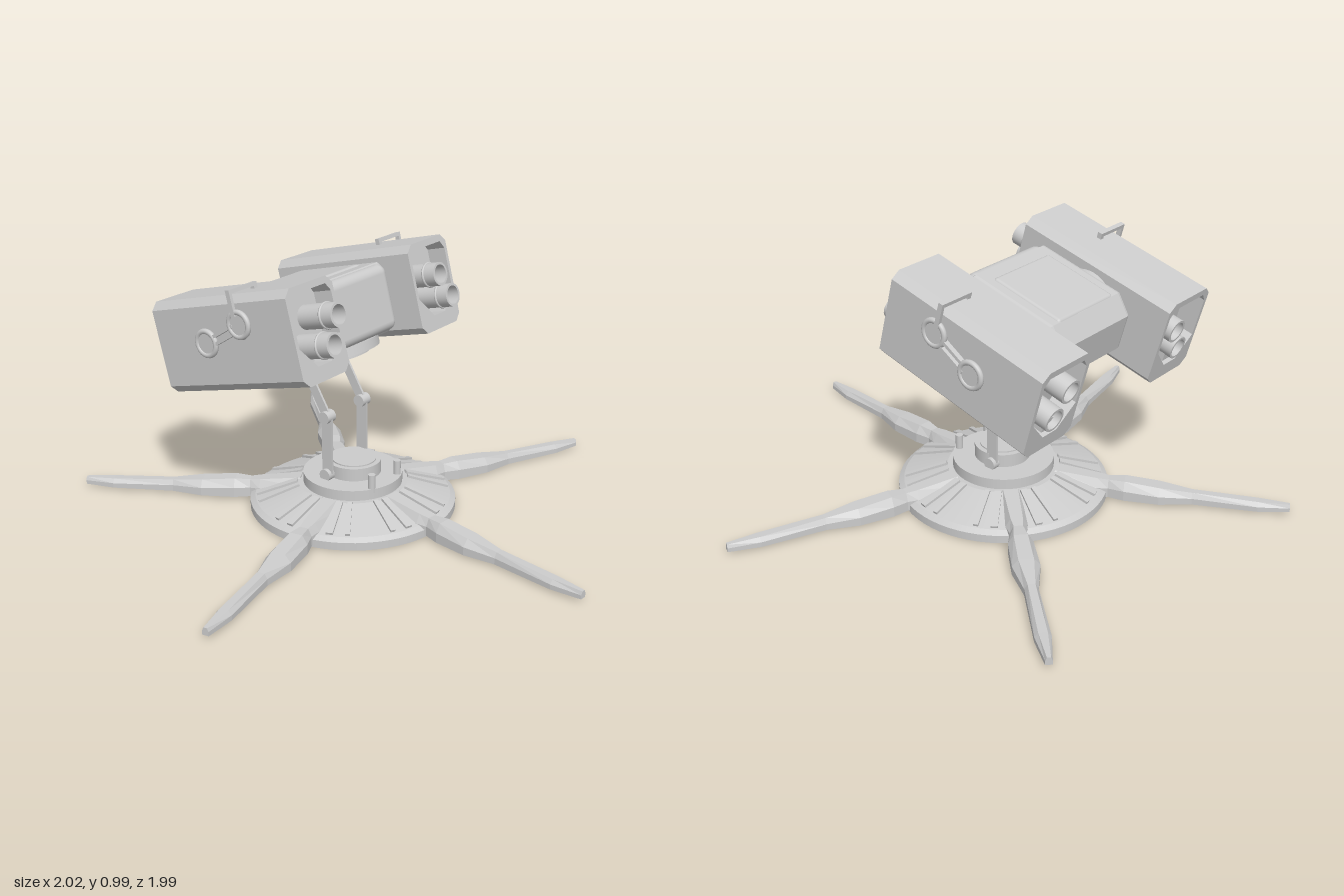
import * as THREE from 'three';
import { RoundedBoxGeometry } from 'three/addons/geometries/RoundedBoxGeometry.js';

const mat = new THREE.MeshStandardMaterial({ color: 0xcccccc, side: THREE.DoubleSide });
const flat = new THREE.MeshStandardMaterial({ color: 0xcccccc, flatShading: true, side: THREE.DoubleSide });

function add(parent, name, geo, x = 0, y = 0, z = 0, m = mat) {
  const mesh = new THREE.Mesh(geo, m);
  mesh.name = name;
  mesh.position.set(x, y, z);
  parent.add(mesh);
  return mesh;
}
function group(parent, name, x = 0, y = 0, z = 0) {
  const g = new THREE.Group();
  g.name = name;
  g.position.set(x, y, z);
  parent.add(g);
  return g;
}
const box = (w, h, d) => new THREE.BoxGeometry(w, h, d);
const cyl = (r, h, n = 32) => new THREE.CylinderGeometry(r, r, h, n);
const cylX = (r, h, n = 24) => cyl(r, h, n).rotateZ(Math.PI / 2);
const poly = (pts) => pts.map(([x, y]) => new THREE.Vector2(x, y));

// Bar between two (z, y) points in a plane of constant x
function bar(parent, name, x, a, b, thick, wide) {
  const dz = b[0] - a[0], dy = b[1] - a[1];
  const mesh = add(parent, name, box(thick, wide, Math.hypot(dz, dy)), x, (a[1] + b[1]) / 2, (a[0] + b[0]) / 2);
  mesh.rotation.x = -Math.atan2(dy, dz);
  return mesh;
}

// Trapezoid loft along z; stations are [z, half width, bottom, top]
function loft(stations) {
  const pos = [], idx = [];
  for (const [z, w, lo, hi] of stations) {
    const mid = lo + (hi - lo) * 0.55;
    pos.push(-w, lo, z, w, lo, z, w, mid, z, w * 0.55, hi, z, -w * 0.55, hi, z, -w, mid, z);
  }
  const n = 6, last = (stations.length - 1) * n;
  for (let s = 0; s < last; s += n) {
    for (let i = 0; i < n; i++) {
      const j = (i + 1) % n;
      idx.push(s + i, s + j, s + n + j, s + i, s + n + j, s + n + i);
    }
  }
  for (let i = 1; i < n - 1; i++) idx.push(0, i + 1, i, last, last + i, last + i + 1);
  const g = new THREE.BufferGeometry();
  g.setAttribute('position', new THREE.Float32BufferAttribute(pos, 3));
  g.setIndex(idx);
  g.computeVertexNormals();
  return g;
}

function buildBase(root) {
  const base = group(root, 'base', 0.045, 0, -0.06);
  // Shallow conical plate; doubled profile points keep the edges sharp
  const profile = poly([[0, 0], [0.395, 0], [0.395, 0], [0.395, 0.03], [0.395, 0.03], [0.375, 0.043], [0.375, 0.043],
    [0.21, 0.095], [0.21, 0.095], [0, 0.095]]);
  add(base, 'basePlate', new THREE.LatheGeometry(profile, 64));
  add(base, 'baseRing', cyl(0.19, 0.05, 48), 0, 0.11, 0);
  add(base, 'baseHub', cyl(0.104, 0.06, 48), 0, 0.155, 0.005);
  add(base, 'hubCap', cyl(0.085, 0.006, 48), 0, 0.187, 0.005);
  for (const x of [-0.085, 0.075]) add(base, 'ringPost', cyl(0.014, 0.07, 16), x, 0.155, 0.155);

  // Five tapering legs with ribbed roots on the plate
  const stations = [[0.2, 0.05, 0.03, 0.1], [0.36, 0.04, 0.008, 0.08], [0.4, 0.03, 0.008, 0.075], [0.46, 0.045, 0.008, 0.078],
    [0.59, 0.049, 0.008, 0.066], [0.71, 0.024, 0.008, 0.052], [0.95, 0.028, 0.008, 0.042], [1.065, 0.012, 0.01, 0.038]];
  for (let i = 0; i < 5; i++) {
    const leg = group(base, 'leg');
    leg.rotation.y = (-6 + 72 * i) * Math.PI / 180;
    add(leg, 'legBeam', loft(stations), 0, 0, 0, flat);
    for (const s of [-1, 1]) {
      for (const [a, w] of [[0.22, 0.013], [0.4, 0.009]]) {
        const rib = group(leg, 'plateRib');
        rib.rotation.y = s * a;
        const m = add(rib, 'rib', box(w * 2, 0.016, 0.165), 0, 0.071, 0.29);
        m.rotation.x = 0.305;
      }
    }
  }
}

function buildArms(root) {
  const arms = group(root, 'arms');
  const foot = [-0.09, 0.15], elbow = [-0.09, 0.385], top = [-0.19, 0.55];
  for (const x of [-0.07, 0.142]) {
    bar(arms, 'lowerArm', x, foot, elbow, 0.009, 0.046);
    bar(arms, 'upperArm', x, elbow, top, 0.009, 0.038);
    add(arms, 'footPivot', cylX(0.024, 0.04), x, foot[1], foot[0]);
    add(arms, 'elbowPivot', cylX(0.024, 0.045), x, elbow[1], elbow[0]);
    add(arms, 'topPivot', cylX(0.023, 0.034), x, top[1], top[0]);
  }
  add(arms, 'crossbar', cylX(0.013, 0.22), 0.036, top[1], top[0]);
  for (const x of [-0.005, 0.077]) bar(arms, 'lug', x, [-0.2, 0.5], [-0.18, 0.61], 0.01, 0.035);
}

function buildHead(head) {
  // Central housing, profile drawn in the z-y plane and extruded across x
  const r = 0.02;
  const side = new THREE.Shape(poly([[0.2, 0.11], [-0.13, 0.11], [-0.18, 0.06], [-0.18, -0.06], [-0.12, -0.115],
    [0.19, -0.115], [0.215, -0.09], [0.215, 0.09]]));
  const geo = new THREE.ExtrudeGeometry(side, { depth: 0.4 - 2 * r, bevelSize: r, bevelThickness: r, bevelSegments: 3 });
  geo.translate(0, 0, -0.2 + r).rotateY(-Math.PI / 2);
  add(head, 'housing', geo);
  add(head, 'frontPanel', new RoundedBoxGeometry(0.385, 0.25, 0.08, 4, 0.035), 0, 0.0, 0.21);
  add(head, 'topPanel', new RoundedBoxGeometry(0.3, 0.03, 0.3, 3, 0.014), 0, 0.122, 0.01);
  add(head, 'sideAxle', cylX(0.12, 0.46, 40), 0, 0, 0);
  add(head, 'turntable', cyl(0.19, 0.035, 48), 0, -0.142, 0.05);
  add(head, 'turntableLip', cyl(0.15, 0.02, 48), 0, -0.166, 0.05);
}

function buildPod(head, s) {
  const pod = group(head, s > 0 ? 'leftPod' : 'rightPod', s * 0.344, 0, 0);
  const w = 0.1225, h = 0.17, c = 0.028, L = 0.66;
  // Chamfered casing with a shield-shaped mouth at both ends
  const shape = new THREE.Shape(poly([[-w + c, -h], [w - c, -h], [w, -h + c], [w, h - c], [w - c, h],
    [-w + c, h], [-w, h - c], [-w, -h + c]]));
  shape.holes.push(new THREE.Path(poly([[-0.035, -0.115], [-0.108, -0.035], [-0.108, 0.115], [-0.085, 0.145],
    [0.085, 0.145], [0.108, 0.115], [0.108, -0.035], [0.035, -0.115]])));
  add(pod, 'casing', new THREE.ExtrudeGeometry(shape, { depth: L, bevelEnabled: false }).translate(0, 0, -L / 2));
  add(pod, 'bulkhead', box(0.22, 0.28, 0.5), 0, 0.01, 0);
  add(pod, 'rearBlock', box(0.05, 0.045, 0.07), 0, -0.088, -0.28);

  // Hollow tubes, reaching out at the front and level with the rear
  const tube = (len) => new THREE.LatheGeometry(poly([[0.044, 0], [0.044, len], [0.044, len], [0.035, len],
    [0.035, len], [0.035, 0.03], [0.035, 0.03], [0, 0.03]]), 28);
  for (const [x, y] of [[-0.043, 0.042], [0.008, -0.05]]) {
    add(pod, 'frontTube', tube(0.16), s * x, y, 0.24).rotation.x = Math.PI / 2;
    add(pod, 'rearTube', tube(0.1), s * x, y, -0.24).rotation.x = -Math.PI / 2;
    add(pod, 'tubeCollar', new THREE.TorusGeometry(0.044, 0.005, 8, 28), s * x, y, 0.35);
  }

  // Linked round fittings on the outer side
  const ends = [[0.104, 0.07], [-0.072, 0.013]];
  for (const [z, y] of ends) {
    add(pod, 'sideBoss', cylX(0.038, 0.03), s * (w + 0.004), y, z);
    add(pod, 'sideRing', new THREE.TorusGeometry(0.044, 0.01, 10, 32).rotateY(Math.PI / 2), s * (w + 0.014), y, z);
  }
  for (const d of [-0.014, 0.014]) {
    bar(pod, 'sideLink', s * (w + 0.012), [0.075, 0.055 + d], [-0.04, 0.018 + d], 0.018, 0.012);
  }

  // Bracket climbing the side and folding over the top
  add(pod, 'bracketUpright', box(0.012, 0.09, 0.018), s * (w + 0.018), 0.145, 0.095);
  add(pod, 'bracketTop', box(0.14, 0.014, 0.018), s * (w - 0.046), 0.186, 0.095);
  add(pod, 'bracketFoot', box(0.016, 0.02, 0.018), s * 0.015, 0.175, 0.095);
}

export function createModel() {
  const root = new THREE.Group();
  root.name = 'turret';
  buildBase(root);
  buildArms(root);
  // Head assembly, tilted back so the front points upward
  const head = group(root, 'head', 0.033, 0.736, -0.2475);
  head.rotation.x = -15 * Math.PI / 180;
  buildHead(head);
  for (const s of [-1, 1]) buildPod(head, s);
  return root;
}
